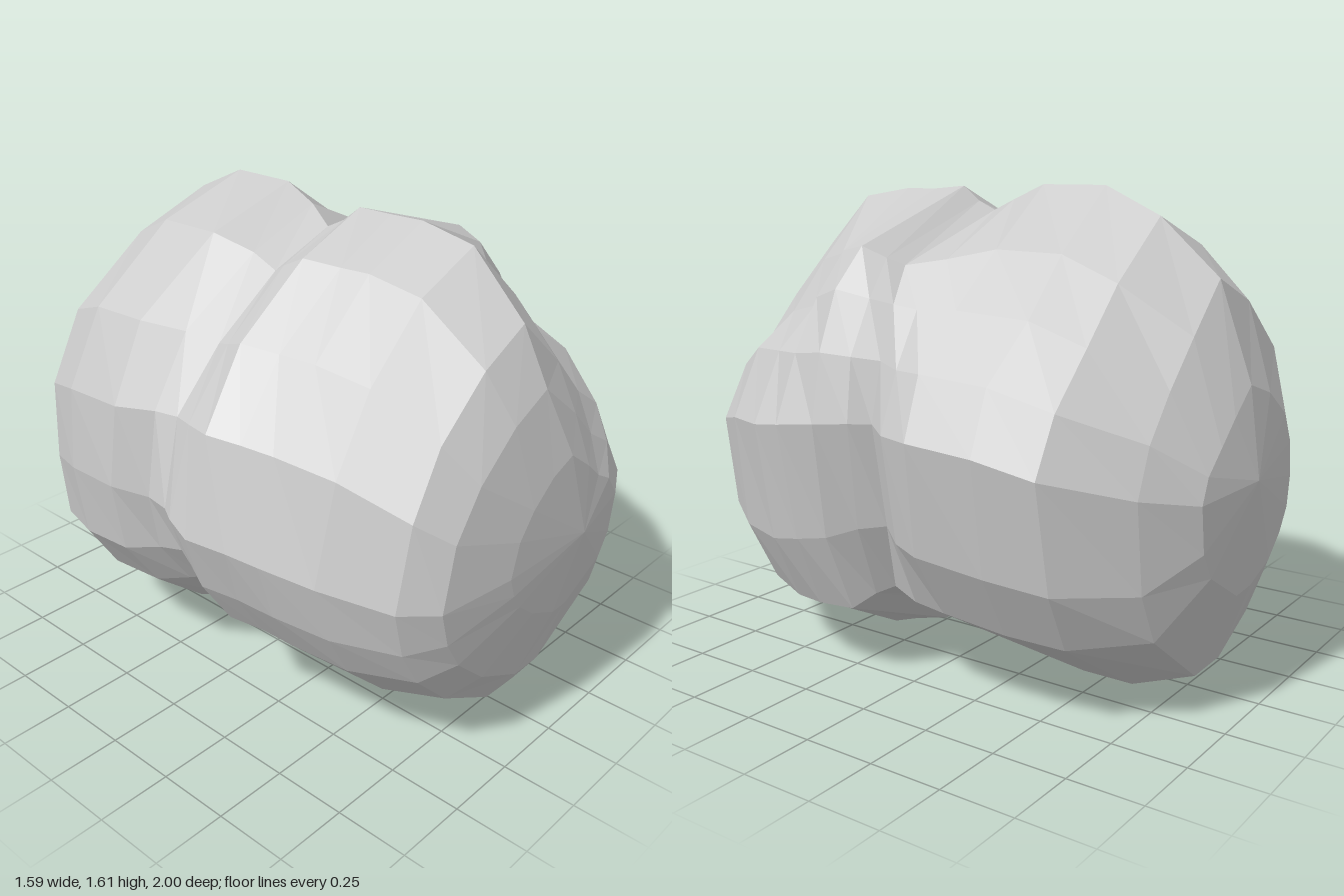
import * as THREE from 'three';

// Lobe outlines (x, y), counter-clockwise seen from the front
const FRONT = [[.79, .87], [.64, 1.09], [.45, 1.2], [.27, 1.37], [-.02, 1.59], [-.28, 1.48], [-.54, 1.27], [-.71, 1.03],
  [-.8, .7], [-.74, .5], [-.64, .34], [-.43, .16], [-.1, 0], [.1, 0], [.6, .26], [.73, .48]];
const REAR = [[.78, .87], [.69, 1.06], [.5, 1.23], [.3, 1.41], [.04, 1.61], [-.3, 1.5], [-.62, 1.28], [-.75, 1.03],
  [-.77, .75], [-.74, .5], [-.62, .32], [-.42, .15], [-.1, .03], [.15, .02], [.6, .29], [.72, .5]];
// Around the waist a raised shoulder and a lower hip replace the right side of the front outline
const SHOULDER = [[.79, .87], [.74, 1.09], [.65, 1.28], [.54, 1.41], ...FRONT.slice(4, 14), [.63, .21], [.73, .48]];
const OUTLINES = [FRONT, SHOULDER, REAR];
const N = FRONT.length;

// Stations: z, left x, right x, bottom y, top y, blend (0 front, 1 shoulder, 2 rear)
const STATIONS = [
  [.97, -.25, .33, .44, .98, 0], [.91, -.5, .44, .22, 1.2, 0], [.82, -.6, .53, .09, 1.38, 0],
  [.6, -.69, .69, 0, 1.56, 0], [.4, -.73, .78, 0, 1.59, .25], [.29, -.76, .79, .03, 1.59, .7],
  [.17, -.8, .77, .05, 1.6, 1], [.07, -.77, .72, .12, 1.55, 1], [0, -.74, .67, .15, 1.52, 1], // waist
  [-.09, -.73, .74, .1, 1.56, 1.5], [-.2, -.78, .78, .06, 1.61, 1.9], [-.43, -.76, .76, .02, 1.61, 2],
  [-.62, -.69, .71, .02, 1.52, 2], [-.83, -.49, .52, .09, 1.34, 2], [-.95, -.29, .36, .38, 1.03, 2],
];
const WAIST = 8;

// Fit the blended outline into a station's bounds; the waist bows forward at its top and bottom
function ring([z, x0, x1, y0, y1, blend], i) {
  const k = Math.min(Math.floor(blend), 1), { lerp, mapLinear } = THREE.MathUtils;
  const pts = OUTLINES[k].map((p, j) => p.map((v, axis) => lerp(v, OUTLINES[k + 1][j][axis], blend - k)));
  const xs = pts.map(p => p[0]), ys = pts.map(p => p[1]);
  const bow = .07 * Math.exp(-((z / .1) ** 2));
  return pts.map(([x, y], j) => [
    mapLinear(x, Math.min(...xs), Math.max(...xs), x0, x1),
    mapLinear(y, Math.min(...ys), Math.max(...ys), y0, y1),
    z + bow * ((y - .8) / .8) ** 2 + .01 * (1 - z * z) * Math.sin(j * 2.3 + i * 1.7)]);
}

// Skin consecutive rings and close one end with a tip
function lobe(name, rings, tip, tipInFront) {
  const position = [];
  const tri = (...p) => p.forEach(v => position.push(...v));
  for (let i = 0; i < rings.length - 1; i++) {
    for (let j = 0; j < N; j++) {
      const k = (j + 1) % N, a = rings[i], b = rings[i + 1];
      tri(a[j], b[j], a[k]);
      tri(a[k], b[j], b[k]);
    }
  }
  const end = tipInFront ? rings[0] : rings[rings.length - 1];
  for (let j = 0; j < N; j++) {
    const k = (j + 1) % N;
    if (tipInFront) tri(tip, end[j], end[k]);
    else tri(tip, end[k], end[j]);
  }
  const geometry = new THREE.BufferGeometry();
  geometry.setAttribute('position', new THREE.Float32BufferAttribute(position, 3));
  geometry.computeVertexNormals();
  const mesh = new THREE.Mesh(geometry, new THREE.MeshStandardMaterial({ color: 0xcccccc, flatShading: true }));
  mesh.name = name;
  return mesh;
}

export function createModel() {
  const group = new THREE.Group();
  group.name = 'twoLobedRock';
  const rings = STATIONS.map(ring);
  group.add(
    lobe('frontLobe', rings.slice(0, WAIST + 1), [.1, .7, 1], true),
    lobe('rearLobe', rings.slice(WAIST), [.08, .75, -1], false));
  return group;
}
